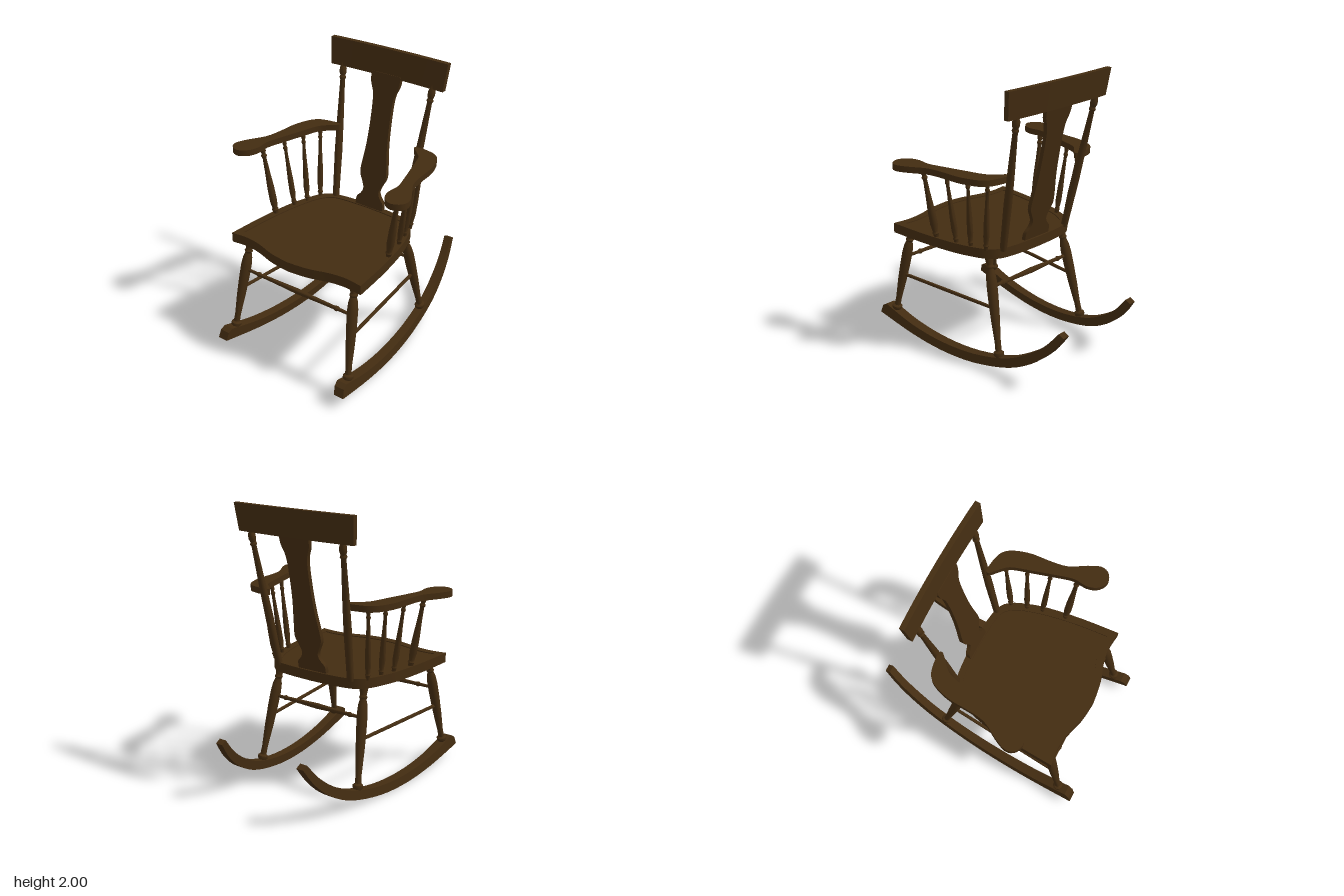
import * as THREE from 'three';
import { toCreasedNormals } from 'three/addons/utils/BufferGeometryUtils.js';

const wood = new THREE.MeshStandardMaterial({ color: 0x432c11 });
wood.name = 'dark wood';

const V = (x, y, z) => new THREE.Vector3(x, y, z);
const spline = (pts, n = 32, closed = false) =>
  new THREE.SplineCurve(pts.map(p => new THREE.Vector2(...p))).getPoints(n)
    .slice(0, closed ? -1 : undefined);

export function createModel() {
  const chair = new THREE.Group();
  chair.name = 'rockingChair';

  const add = (name, geo, parent = chair) => {
    const m = new THREE.Mesh(geo, wood);
    m.name = name;
    parent.add(m);
    return m;
  };

  // Turned part between two points; profile rows are [fraction of length, radius]
  const turned = (name, a, b, profile, segs = 16) => {
    const len = a.distanceTo(b);
    const pts = [[0, 0], ...profile, [1, 0]].map(([t, r]) => new THREE.Vector2(r, t * len));
    const m = add(name, toCreasedNormals(new THREE.LatheGeometry(pts, segs), 0.7));
    m.position.copy(a);
    m.quaternion.setFromUnitVectors(V(0, 1, 0), b.clone().sub(a).normalize());
    return m;
  };

  // Horizontal slab from an (x, z) outline
  const slab = (name, outline, top, thick, hole) => {
    const shape = new THREE.Shape(outline);
    if (hole) shape.holes.push(new THREE.Path(hole));
    const g = new THREE.ExtrudeGeometry(shape, { depth: thick, bevelEnabled: false });
    g.rotateX(Math.PI / 2).translate(0, top, 0);
    return add(name, toCreasedNormals(g, 0.5));
  };

  // Mirrors a half outline (back centre to front centre) into a closed loop
  const mirrorLoop = half => [
    ...half,
    ...half.slice(1, -1).reverse().map(p => new THREE.Vector2(-p.x, p.y)),
  ];

  // Seat with a shallow saddle
  const seatHalf = [
    ...spline([[0, -0.265], [0.2, -0.255], [0.33, -0.228], [0.4, -0.165], [0.45, -0.05],
      [0.49, 0.1], [0.525, 0.35], [0.545, 0.63]], 28),
    ...spline([[0.545, 0.63], [0.42, 0.617], [0.3, 0.632], [0.15, 0.675], [0, 0.693]], 16).slice(1),
  ];
  const saddleHalf = [
    ...spline([[0, -0.215], [0.2, -0.207], [0.3, -0.185], [0.36, -0.12], [0.4, -0.02],
      [0.44, 0.15], [0.47, 0.36], [0.485, 0.57]], 28),
    ...spline([[0.485, 0.57], [0.4, 0.562], [0.3, 0.575], [0.15, 0.615], [0, 0.632]], 16).slice(1),
  ];
  slab('seat', mirrorLoop(seatHalf), 0.863, 0.063);
  slab('seatRim', mirrorLoop(seatHalf), 0.87, 0.007, mirrorLoop(saddleHalf));

  // Turning profiles
  const legProfile = [[0, 0.024], [0.04, 0.026], [0.06, 0.036], [0.085, 0.036], [0.1, 0.022],
    [0.18, 0.021], [0.4, 0.031], [0.6, 0.036], [0.74, 0.037], [0.82, 0.032], [0.87, 0.022],
    [0.89, 0.029], [0.91, 0.022], [0.95, 0.028], [1, 0.03]];
  const postProfile = [[0, 0.024], [0.1, 0.025], [0.35, 0.028], [0.6, 0.024], [0.87, 0.017],
    [0.885, 0.024], [0.9, 0.018], [0.92, 0.025], [0.95, 0.025], [0.97, 0.017], [1, 0.017]];
  const spindleProfile = [[0, 0.014], [0.05, 0.015], [0.07, 0.02], [0.09, 0.015], [0.2, 0.021],
    [0.4, 0.02], [0.65, 0.014], [0.84, 0.011], [0.87, 0.017], [0.9, 0.011], [0.94, 0.016], [1, 0.013]];
  const rodProfile = [[0, 0.012], [0.5, 0.013], [1, 0.012]];
  const barProfile = [[0, 0.011], [0.11, 0.012], [0.13, 0.019], [0.15, 0.013], [0.3, 0.015],
    [0.5, 0.02], [0.7, 0.015], [0.85, 0.013], [0.87, 0.019], [0.89, 0.012], [1, 0.011]];

  // Rocker side outline in (-z, y)
  const under = spline([[-0.83, 0.095], [-0.5, 0.03], [-0.2, 0], [0.1, 0.014], [0.4, 0.083],
    [0.6, 0.185], [0.74, 0.31], [0.835, 0.445]], 28);
  const over = spline([[0.795, 0.465], [0.7, 0.35], [0.57, 0.245], [0.38, 0.145], [0.1, 0.08],
    [-0.2, 0.066], [-0.5, 0.1], [-0.775, 0.175]], 28);
  const nose = [new THREE.Vector2(-0.81, 0.155)];

  // Arm outline on the left (+x) side in (x, z)
  const armPts = [[0.33, -0.322], [0.42, -0.312], [0.49, -0.29], [0.54, -0.235], [0.58, -0.11],
    [0.59, 0.04], [0.61, 0.16], [0.675, 0.275], [0.71, 0.36], [0.69, 0.42], [0.625, 0.447],
    [0.56, 0.405], [0.535, 0.33], [0.543, 0.23], [0.51, 0.1], [0.47, -0.04], [0.43, -0.175],
    [0.39, -0.23], [0.32, -0.295], [0.33, -0.322]];

  // Spindles: bottom x, z and top x, z
  const spindles = [[0.485, 0.235, 0.568, 0.257, 1.25], [0.455, 0.065, 0.525, 0.075, 1],
    [0.425, -0.045, 0.482, -0.085, 1], [0.395, -0.16, 0.44, -0.23, 1]];

  for (const [side, s] of [['left', 1], ['right', -1]]) {
    // Rocker, leaning and toed in towards the back
    const g = new THREE.ExtrudeGeometry(new THREE.Shape([...under, ...over, ...nose]),
      { depth: 1, bevelEnabled: false });
    g.rotateY(Math.PI / 2);
    const p = g.attributes.position;
    for (let i = 0; i < p.count; i++) {
      const y = p.getY(i), z = p.getZ(i);
      const width = 0.065 + 0.012 * z;
      p.setX(i, s * (0.455 + 0.085 * z - 0.1 * y) + (p.getX(i) - 0.5) * width);
    }
    add(side + 'Rocker', toCreasedNormals(g, 0.5));

    // Legs and side stretcher
    turned(side + 'FrontLeg', V(s * 0.502, 0.12, 0.71), V(s * 0.445, 0.81, 0.558), legProfile);
    turned(side + 'BackLeg', V(s * 0.422, 0.09, -0.312), V(s * 0.357, 0.81, -0.148), legProfile);
    turned(side + 'SideStretcher', V(s * 0.475, 0.45, 0.635), V(s * 0.39, 0.45, -0.23), rodProfile, 12);

    // Back post
    turned(side + 'BackPost', V(s * 0.303, 0.855, -0.23), V(s * 0.373, 1.84, -0.425), postProfile);

    // Arm and its spindles
    slab(side + 'Arm', spline(armPts.map(([x, z]) => [s * x, z]), 60, true), 1.407, 0.043);
    spindles.forEach(([bx, bz, tx, tz, k], i) =>
      turned(`${side}ArmSpindle${i + 1}`, V(s * bx, 0.86, bz), V(s * tx, 1.375, tz),
        spindleProfile.map(([t, r]) => [t, r * k]), 12));
  }

  // Cross stretchers
  turned('frontStretcher', V(-0.455, 0.595, 0.605), V(0.455, 0.595, 0.605), barProfile, 12);
  turned('backStretcher', V(-0.375, 0.595, -0.197), V(0.375, 0.595, -0.197), barProfile, 12);

  // Back splat, shaped in front view and leaned back
  const splatHalf = [
    ...spline([[0.115, 0.86], [0.113, 0.92], [0.08, 0.96], [0.066, 1.0], [0.085, 1.05], [0.108, 1.1],
      [0.108, 1.16], [0.088, 1.32], [0.08, 1.5], [0.085, 1.67], [0.115, 1.76], [0.12, 1.83]], 44),
  ];
  const splat = new THREE.ExtrudeGeometry(
    new THREE.Shape([...splatHalf, ...splatHalf.map(p => new THREE.Vector2(-p.x, p.y)).reverse()]),
    { depth: 0.03, bevelEnabled: false });
  const sp = splat.attributes.position;
  for (let i = 0; i < sp.count; i++) {
    sp.setZ(i, sp.getZ(i) - 0.25 - 0.2 * (sp.getY(i) - 0.87));
  }
  add('backSplat', toCreasedNormals(splat, 0.5));

  // Crest rail, bowed backwards and flared at the top
  const crest = new THREE.BoxGeometry(2, 0.19, 0.036, 20, 1, 1);
  const cp = crest.attributes.position;
  for (let i = 0; i < cp.count; i++) {
    const u = cp.getX(i), t = cp.getY(i) / 0.19 + 0.5;
    cp.setXYZ(i, u * (0.46 + 0.018 * t), 1.81 + 0.19 * t,
      cp.getZ(i) - 0.417 - 0.025 * t - 0.014 * (1 - u * u));
  }
  add('crestRail', toCreasedNormals(crest, 0.5));

  return chair;
}
